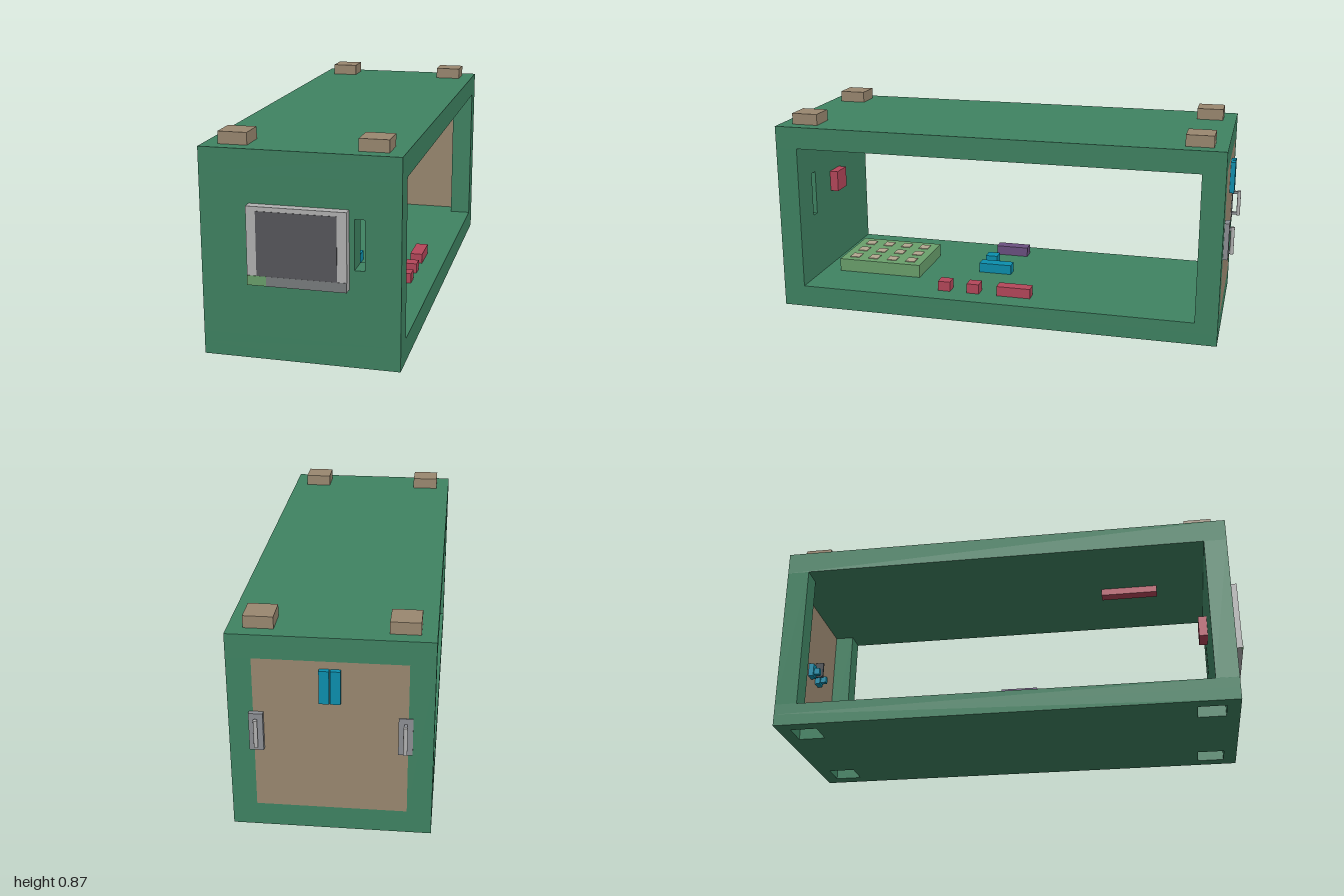
import * as THREE from 'three';

const mat = (color) => new THREE.MeshStandardMaterial({ color });
const GREEN = mat(0x3f8362), BROWN = mat(0x9a8870), TEAL = mat(0x0b8fae), RED = mat(0xb5475a);
const BOARD = mat(0x6aa06c), PURPLE = mat(0x6b5080), BEZEL = mat(0xb2b2b2), SCREEN = mat(0x57575b);
const STRIP = mat(0x797c7e), STEEL = mat(0x8c8f94), DARK = mat(0x4a4d52), PAD = mat(0xb3a890);

// Outer half width, height, half depth, wall thickness
const W = 0.385, H = 0.82, D = 0.96, T = 0.095;

export function createModel() {
  const root = new THREE.Group();

  const add = (name, geometry, material, parent = root) => {
    const mesh = new THREE.Mesh(geometry, material);
    mesh.name = name;
    parent.add(mesh);
    return mesh;
  };
  // Box given by its limits on each axis
  const box = (name, material, [x0, x1], [y0, y1], [z0, z1], parent = root) => {
    const mesh = add(name, new THREE.BoxGeometry(x1 - x0, y1 - y0, z1 - z0), material, parent);
    mesh.position.set((x0 + x1) / 2, (y0 + y1) / 2, (z0 + z1) / 2);
    return mesh;
  };
  const rect = (Kind, x0, x1, y0, y1) => new Kind([
    new THREE.Vector2(x0, y0), new THREE.Vector2(x1, y0),
    new THREE.Vector2(x1, y1), new THREE.Vector2(x0, y1),
  ]);
  const extrude = (shape, depth) => new THREE.ExtrudeGeometry(shape, { depth, bevelEnabled: false });

  // Case: roof and floor slabs, with stacking sockets under the floor
  const body = new THREE.Group();
  body.name = 'case';
  root.add(body);
  box('roof', GREEN, [-W, W], [H - T, H], [-D, D], body);
  box('floor', GREEN, [-W, W], [0.05, T], [-D, D], body);
  const underside = rect(THREE.Shape, -W, W, -D, D);
  for (const sx of [-1, 1]) {
    for (const sz of [-1, 1]) {
      const x = sx * 0.269, z = sz * 0.847, h = 0.057;
      underside.holes.push(rect(THREE.Path, x - h, x + h, z - h, z + h));
      box('foot', BROWN, [x - h, x + h], [H, H + 0.048], [z - h, z + h]);
    }
  }
  add('underside', extrude(underside, 0.05).rotateX(-Math.PI / 2), GREEN, body);

  // Front wall with a slot
  const front = rect(THREE.Shape, -W, W, T, H - T);
  front.holes.push(rect(THREE.Path, 0.21, 0.248, 0.385, 0.58));
  add('frontWall', extrude(front, T), GREEN, body).position.z = D - T;

  // Rear posts and thin rear door between them
  for (const s of [-1, 1]) {
    const edges = [s * 0.29, s * W].sort((a, b) => a - b);
    box('rearPost', GREEN, edges, [T, H - T], [-D, -D + T], body);
  }
  box('rearDoor', BROWN, [-0.29, 0.29], [T, H - T], [-D, -D + 0.012]);

  // Display on the front
  const display = new THREE.Group();
  display.name = 'display';
  root.add(display);
  box('bezel', BEZEL, [-0.192, 0.19], [0.31, 0.615], [D, 0.998], display);
  box('screen', SCREEN, [-0.155, 0.153], [0.348, 0.598], [0.99, 0.9995], display);
  box('lowerStrip', STRIP, [-0.118, 0.19], [0.31, 0.348], [0.99, 1], display);
  box('statusLabel', BOARD, [-0.192, -0.118], [0.31, 0.348], [0.99, 1], display);

  // Handles on the rear door: plate, grip and two stubs
  for (const [x, depth] of [[0.278, 0.02], [-0.28, 0.004]]) {
    const handle = new THREE.Group();
    handle.name = 'handle';
    root.add(handle);
    box('handlePlate', STEEL, [x - 0.027, x + 0.027], [0.35, 0.505], [-D - depth, -D], handle);
    const grip = add('grip', new THREE.CylinderGeometry(0.008, 0.008, 0.115, 12), BEZEL, handle);
    grip.position.set(x, 0.427, -0.992);
    for (const y of [0.378, 0.476]) {
      box('gripStub', STEEL, [x - 0.006, x + 0.006], [y - 0.006, y + 0.006], [-0.992, -D], handle);
    }
  }

  // Paired latch outside the door, with connectors inside
  for (const s of [-1, 1]) {
    box('doorLatch', TEAL, [s * 0.021 - 0.019, s * 0.021 + 0.019], [0.56, 0.695], [-0.98, -D]);
    const x = 0.01 + s * 0.048;
    box('doorConnector', TEAL, [x - 0.022, x + 0.022], [0.37, 0.43], [-0.948, -0.925]);
    box('connectorPlug', TEAL, [x - 0.011, x + 0.011], [0.38, 0.41], [-0.925, -0.9]);
  }
  box('connectorRod', DARK, [0.027, 0.037], [0.4, 0.47], [-0.948, -0.91]);

  // Board with a grid of raised pads
  const board = new THREE.Group();
  board.name = 'circuitBoard';
  root.add(board);
  box('boardBase', BOARD, [-0.156, 0.156], [T, 0.153], [0.4, 0.787], board);
  for (let i = 0; i < 3; i++) {
    for (let j = 0; j < 4; j++) {
      const x = (i - 1) * 0.095, z = 0.594 + (j - 1.5) * 0.09;
      box('pad', PAD, [x - 0.026, x + 0.026], [0.153, 0.156], [z - 0.022, z + 0.022], board);
    }
  }

  // Small modules on the floor: colour, centre x, centre z, length
  const modules = [
    [RED, 0.263, -0.075, 0.15], [RED, 0.263, 0.108, 0.055], [RED, 0.263, 0.24, 0.055],
    [TEAL, -0.01, 0.08, 0.15], [TEAL, -0.12, 0.127, 0.055], [PURPLE, -0.272, 0.065, 0.15],
  ];
  for (const [material, x, z, length] of modules) {
    box('floorModule', material, [x - 0.027, x + 0.027], [T, 0.138], [z - length / 2, z + length / 2]);
  }

  // Modules on the ceiling and behind the display
  box('ceilingModule', RED, [-0.025, 0.025], [0.695, H - T], [0.405, 0.655]);
  box('frontModule', RED, [-0.05, 0.05], [0.447, 0.54], [0.828, D - T]);

  return root;
}
